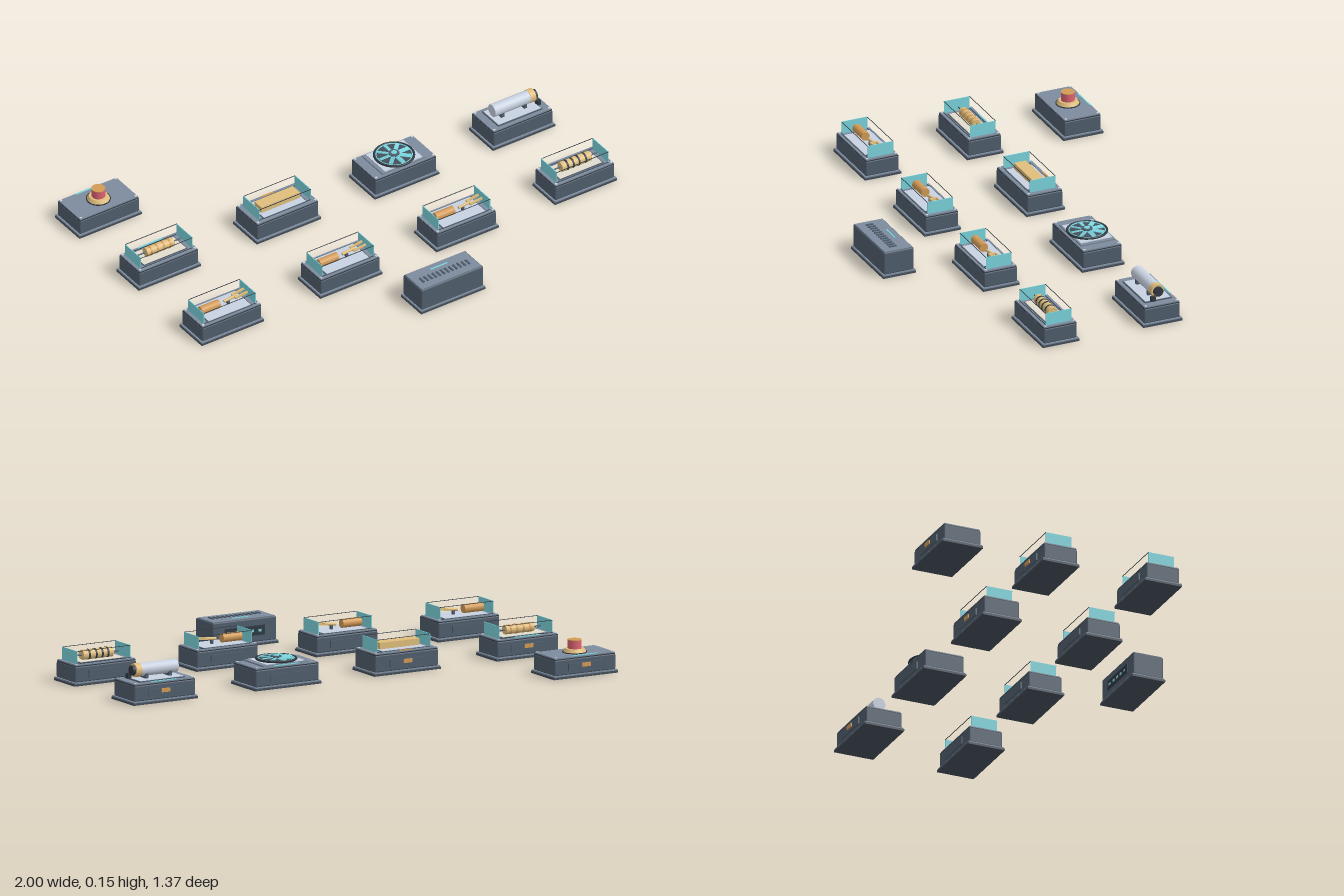
import * as THREE from 'three';
import { RoundedBoxGeometry } from 'three/addons/geometries/RoundedBoxGeometry.js';

const paint = (name, color) => {
  const m = new THREE.MeshStandardMaterial({ color });
  m.name = name;
  return m;
};

export function createModel() {
  const slate = paint('slate casing', 0x505d6d);
  const lidGrey = paint('lid grey', 0x7c8b9d);
  const dark = paint('dark trim', 0x303841);
  const footGrey = paint('foot grey', 0x454f5a);
  const silver = paint('pale metal', 0xc8d1e0);
  const beige = paint('beige board', 0xe2dccd);
  const copper = paint('copper', 0xd29a56);
  const gold = paint('gold', 0xdfbd7c);
  const cyan = paint('cyan', 0x7ad4dd);
  const red = paint('red', 0xdc6472);

  const root = new THREE.Group();
  root.name = 'componentModules';

  function add(parent, name, geo, mat, x = 0, y = 0, z = 0) {
    const m = new THREE.Mesh(geo, mat);
    m.name = name;
    m.position.set(x, y, z);
    parent.add(m);
    return m;
  }
  const box = (p, name, mat, w, h, d, x, y, z) =>
    add(p, name, new THREE.BoxGeometry(w, h, d), mat, x, y, z);
  const disc = (p, name, mat, r, h, x, y, z, rTop = r) =>
    add(p, name, new THREE.CylinderGeometry(rTop, r, h, 24), mat, x, y, z);
  const rod = (p, name, mat, r, len, x, y, z) => {
    const m = disc(p, name, mat, r, len, x, y, z);
    m.rotation.z = Math.PI / 2;
    return m;
  };
  const hoop = (p, name, mat, r, tube, y) => {
    const m = add(p, name, new THREE.TorusGeometry(r, tube, 8, 32), mat, 0, y, 0);
    m.rotation.x = Math.PI / 2;
  };

  // Foot with a pale flange, shared by every unit
  function foot(g, w, d) {
    box(g, 'foot', footGrey, w, 0.009, d, 0, 0.0045, 0);
    box(g, 'footTrim', lidGrey, w - 0.004, 0.005, d - 0.004, 0, 0.0115, 0);
  }

  // Casing: shell, rim, lid, screws and rear panel
  function casing(name, x, z, w, d, h) {
    const g = new THREE.Group();
    g.name = name;
    g.position.set(x, 0, z);
    root.add(g);
    foot(g, w, d);
    const bh = h - 0.02;
    add(g, 'shell', new RoundedBoxGeometry(w - 0.014, bh, d - 0.014, 2, 0.006), slate, 0, 0.013 + bh / 2, 0);
    box(g, 'rim', dark, w - 0.018, 0.007, d - 0.018, 0, h - 0.0085, 0);
    box(g, 'lid', lidGrey, w - 0.022, 0.006, d - 0.022, 0, h - 0.003, 0);
    for (const sx of [-1, 1]) for (const sz of [-1, 1])
      disc(g, 'screw', silver, 0.005, 0.003, sx * (w / 2 - 0.018), h + 0.001, sz * (d / 2 - 0.018));
    box(g, 'rearPanel', slate, 0.16, 0.03, 0.006, 0, 0.045, -d / 2 + 0.004);
    return g;
  }
  const statusStrip = (g, d, h) =>
    box(g, 'statusStrip', cyan, 0.12, 0.004, 0.006, 0, h + 0.001, -d / 2 + 0.016);
  const rearPlug = (g, d) =>
    box(g, 'rearPlug', copper, 0.04, 0.016, 0.005, 0, 0.05, -d / 2 - 0.001);

  // Open guard: coloured end plates joined by thin rails
  function guard(g, h, board) {
    const deep = board === beige ? 0.09 : 0.112;
    box(g, 'trayEdge', slate, 0.21, 0.003, deep + 0.008, 0, h + 0.001, 0);
    box(g, 'tray', board, 0.202, 0.004, deep, 0, h + 0.002, 0);
    for (const s of [-1, 1]) {
      box(g, 'endPlate', cyan, 0.003, 0.052, 0.112, s * 0.124, h + 0.026, 0);
      for (const y of [0.001, 0.051])
        box(g, 'rail', dark, 0.25, 0.002, 0.002, 0, h + y, s * 0.056);
    }
  }

  // Part on wire leads, with painted bands
  function resistor(g, h, len, r, bandMat, bands) {
    const y = h + 0.022;
    rod(g, 'lead', slate, 0.003, 0.21, 0, y, 0);
    rod(g, 'resistorBody', gold, r, len, 0, y, 0);
    for (const b of bands) rod(g, 'band', bandMat, r + 0.001, 0.008, b, y, 0);
  }

  // Copper barrel with a forked contact
  function connector(g, h) {
    const y = h + 0.022;
    rod(g, 'barrel', copper, 0.018, 0.088, -0.06, y, 0);
    const fork = new THREE.Group();
    fork.name = 'forkContact';
    fork.position.set(0.01, y, 0);
    fork.rotation.z = 0.12;
    g.add(fork);
    rod(fork, 'stem', gold, 0.006, 0.05, 0.025, 0, 0);
    box(fork, 'crossBar', gold, 0.012, 0.008, 0.034, 0.052, 0, 0);
    for (const s of [-1, 1]) box(fork, 'prong', gold, 0.05, 0.008, 0.008, 0.08, 0, s * 0.013);
    box(g, 'support', slate, 0.01, 0.018, 0.012, 0.03, h + 0.01, 0);
  }

  // Push button module
  const button = casing('buttonModule', -0.85, -0.596, 0.3, 0.176, 0.085);
  statusStrip(button, 0.176, 0.085);
  rearPlug(button, 0.176);
  disc(button, 'buttonBase', dark, 0.05, 0.004, 0, 0.086, 0);
  disc(button, 'buttonCollar', gold, 0.047, 0.014, 0, 0.094, 0, 0.038);
  disc(button, 'buttonStem', red, 0.028, 0.034, 0, 0.117, 0);
  disc(button, 'buttonCap', copper, 0.028, 0.003, 0, 0.1355, 0);

  // Small resistor and long strip modules
  const small = casing('resistorModule', -0.85, -0.165, 0.3, 0.16, 0.085);
  statusStrip(small, 0.16, 0.085);
  rearPlug(small, 0.16);
  guard(small, 0.085, beige);
  resistor(small, 0.085, 0.13, 0.019, copper, [-0.045, -0.015, 0.015, 0.045]);

  const strip = casing('stripModule', -0.28, -0.165, 0.31, 0.17, 0.09);
  rearPlug(strip, 0.17);
  guard(strip, 0.09, silver);
  box(strip, 'strip', gold, 0.185, 0.026, 0.052, 0, 0.108, 0);
  box(strip, 'statusStrip', copper, 0.06, 0.004, 0.006, 0, 0.091, -0.069);

  // Fan module
  const fan = casing('fanModule', 0.28, -0.16, 0.31, 0.186, 0.09);
  statusStrip(fan, 0.186, 0.09);
  box(fan, 'fanPlinth', lidGrey, 0.21, 0.006, 0.148, 0, 0.093, 0);
  box(fan, 'fanPlate', silver, 0.18, 0.006, 0.138, 0, 0.096, 0);
  disc(fan, 'fanWell', footGrey, 0.081, 0.004, 0, 0.1, 0);
  hoop(fan, 'fanRing', dark, 0.08, 0.005, 0.104);
  hoop(fan, 'fanInnerRing', cyan, 0.073, 0.0025, 0.105);
  for (let i = 0; i < 8; i++) {
    const blade = new THREE.Group();
    blade.name = 'blade';
    blade.position.y = 0.107;
    blade.rotation.y = (i * Math.PI) / 4;
    fan.add(blade);
    box(blade, 'bladeVane', cyan, 0.05, 0.004, 0.017, 0.045, 0, 0).rotation.x = 0.3;
  }
  disc(fan, 'fanHub', slate, 0.022, 0.012, 0, 0.108, 0);
  disc(fan, 'hubCap', cyan, 0.012, 0.003, 0, 0.115, 0);

  // Cylinder cell module
  const cell = casing('cellModule', 0.85, -0.162, 0.3, 0.172, 0.085);
  statusStrip(cell, 0.172, 0.085);
  rearPlug(cell, 0.172);
  box(cell, 'cellTrayEdge', slate, 0.212, 0.005, 0.118, 0, 0.087, 0);
  box(cell, 'cellTray', silver, 0.204, 0.006, 0.11, 0, 0.088, 0);
  for (const x of [-0.06, 0.05]) box(cell, 'cradle', slate, 0.014, 0.025, 0.046, x, 0.102, 0);
  rod(cell, 'cellBody', silver, 0.027, 0.17, -0.012, 0.125, 0);
  rod(cell, 'cellCollar', gold, 0.028, 0.026, 0.086, 0.125, 0);
  rod(cell, 'cellTip', dark, 0.02, 0.014, 0.104, 0.125, 0);
  box(cell, 'cellLatch', dark, 0.016, 0.02, 0.02, 0.108, 0.1, 0.025);

  // Front row: three connectors and a banded resistor
  for (const x of [-0.85, -0.28, 0.28]) {
    const g = casing('connectorModule', x, 0.285, 0.3, 0.16, 0.085);
    guard(g, 0.085, silver);
    connector(g, 0.085);
  }
  const banded = casing('bandedResistorModule', 0.85, 0.285, 0.3, 0.16, 0.085);
  guard(banded, 0.085, beige);
  resistor(banded, 0.085, 0.14, 0.021, dark, [-0.045, -0.018, 0.01, 0.042]);

  // Vented control box
  const control = new THREE.Group();
  control.name = 'ventedControlBox';
  control.position.set(0, 0, 0.606);
  root.add(control);
  foot(control, 0.31, 0.144);
  add(control, 'shell', new RoundedBoxGeometry(0.298, 0.097, 0.132, 2, 0.006), slate, 0, 0.0615, 0);
  box(control, 'lid', lidGrey, 0.286, 0.003, 0.12, 0, 0.1105, 0);
  box(control, 'statusStrip', cyan, 0.08, 0.004, 0.006, 0, 0.1125, -0.032);
  for (let i = 0; i < 12; i++)
    box(control, 'ventSlat', slate, 0.008, 0.005, 0.032, -0.11 + i * 0.02, 0.1135, 0.01);
  box(control, 'rearPanel', dark, 0.19, 0.04, 0.004, 0, 0.06, -0.066);
  for (let i = 0; i < 5; i++)
    box(control, 'rearLamp', cyan, 0.014, 0.01, 0.002, -0.07 + i * 0.035, 0.06, -0.069);

  return root;
}
